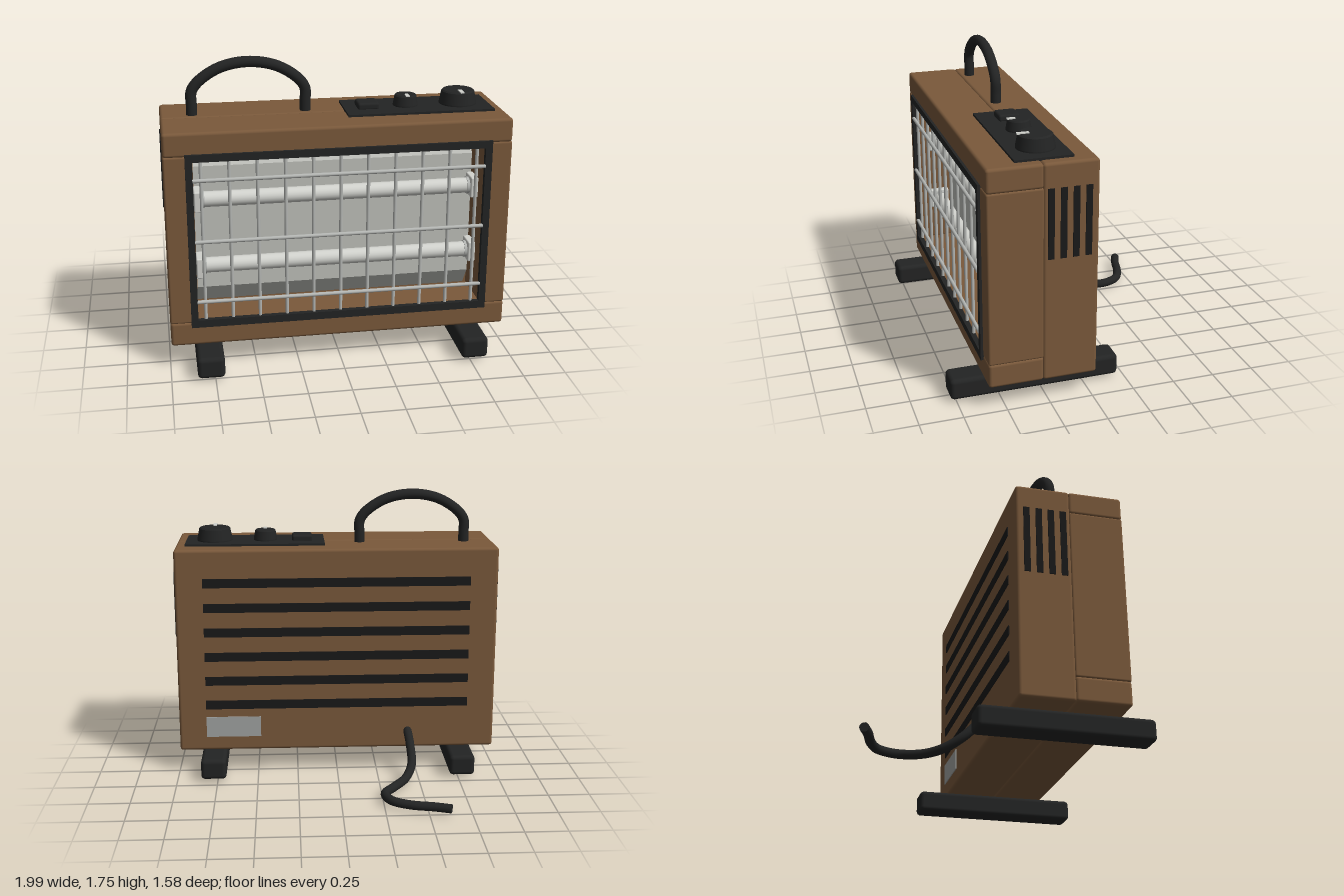
import * as THREE from 'three';
import { RoundedBoxGeometry } from 'three/addons/geometries/RoundedBoxGeometry.js';

const mat = (name, color, side = THREE.FrontSide) => {
  const m = new THREE.MeshStandardMaterial({ color, side });
  m.name = name;
  return m;
};

export function createModel() {
  const brown = mat('brown casing', 0x7a593b);
  const black = mat('black plastic', 0x232424);
  const dark = mat('dark vent', 0x191919);
  const reflectorMat = mat('reflector metal', 0xc0c1bb, THREE.DoubleSide);
  const steel = mat('grille steel', 0xb4b6b3);
  const ceramic = mat('pale ceramic', 0xd2d3ce);
  const plateMat = mat('label grey', 0xa2a4a3);

  const model = new THREE.Group();
  const add = (name, geo, material, x = 0, y = 0, z = 0) => {
    const mesh = new THREE.Mesh(geo, material);
    mesh.name = name;
    mesh.position.set(x, y, z);
    model.add(mesh);
    return mesh;
  };
  // boxes given by their limits on each axis
  const box = (name, m, [x0, x1], [y0, y1], [z0, z1], r = 0) => add(name,
    r ? new RoundedBoxGeometry(x1 - x0, y1 - y0, z1 - z0, 3, r)
      : new THREE.BoxGeometry(x1 - x0, y1 - y0, z1 - z0),
    m, (x0 + x1) / 2, (y0 + y1) / 2, (z0 + z1) / 2);
  const rodX = (name, m, r, length, y, z, x = 0) => {
    add(name, new THREE.CylinderGeometry(r, r, length, 20), m, x, y, z).rotation.z = Math.PI / 2;
  };
  const tube = (name, points, r, m) => {
    const curve = new THREE.CatmullRomCurve3(points.map(p => new THREE.Vector3(...p)));
    add(name, new THREE.TubeGeometry(curve, 80, r, 14), m);
    // flat caps on both ends
    for (const t of [0, 1]) {
      const p = curve.getPointAt(t);
      const cap = add(name + 'End', new THREE.CircleGeometry(r, 14), m, p.x, p.y, p.z);
      cap.lookAt(p.clone().addScaledVector(curve.getTangentAt(t), t ? 1 : -1));
    }
  };

  // casing: rear box and a front shell made of four bars
  box('rearCasing', brown, [-0.99, 0.99], [0.145, 1.425], [-0.025, 0.29], 0.018);
  box('frontTopBar', brown, [-0.99, 0.99], [1.285, 1.425], [0.285, 0.6], 0.018);
  box('frontBottomBar', brown, [-0.99, 0.99], [0.145, 0.29], [0.285, 0.6], 0.018);
  for (const s of [-1, 1]) {
    box('frontSideBar', brown, [s * 0.915 - 0.075, s * 0.915 + 0.075], [0.285, 1.29], [0.285, 0.6], 0.012);
  }

  // black frame around the opening
  const rect = (path, x, y0, y1) =>
    path.moveTo(-x, y0).lineTo(x, y0).lineTo(x, y1).lineTo(-x, y1).closePath();
  const frame = new THREE.Shape();
  rect(frame, 0.87, 0.262, 1.303);
  const hole = new THREE.Path();
  rect(hole, 0.83, 0.307, 1.26);
  frame.holes.push(hole);
  add('frontFrame', new THREE.ExtrudeGeometry(frame, { depth: 0.03, bevelEnabled: false }), black, 0, 0, 0.585);

  // reflector: upright sheet with both edges folded back
  const fold = [[0.295, 0.3], [0.41, 0.38], [1.16, 0.38], [1.275, 0.3]];
  for (let i = 0; i < 3; i++) {
    const [y0, z0] = fold[i], [y1, z1] = fold[i + 1];
    const sheet = add('reflectorPanel', new THREE.PlaneGeometry(1.64, Math.hypot(y1 - y0, z1 - z0)),
      reflectorMat, 0, (y0 + y1) / 2, (z0 + z1) / 2);
    sheet.rotation.x = Math.atan2(z1 - z0, y1 - y0);
  }

  // heating tubes with end holders
  for (const y of [0.585, 0.99]) {
    rodX('heatingTube', ceramic, 0.045, 1.56, y, 0.46);
    for (const s of [-1, 1]) {
      box('tubeHolder', ceramic, [s * 0.803 - 0.022, s * 0.803 + 0.022], [y - 0.062, y + 0.062], [0.4, 0.52], 0.008);
      rodX('tubeCollar', steel, 0.05, 0.015, y, 0.46, s * 0.773);
    }
  }

  // wire grille
  for (let i = 0; i < 11; i++) {
    add('grilleUpright', new THREE.CylinderGeometry(0.01, 0.01, 0.97, 10), steel, (i - 5) * 0.157, 0.784, 0.592);
  }
  for (const y of [0.42, 0.788, 1.152]) rodX('grilleRail', steel, 0.011, 1.665, y, 0.609);

  // side and rear vents
  for (const s of [-1, 1]) for (let i = 0; i < 4; i++) {
    const z = 0.035 + i * 0.0707;
    box('sideVent', dark, [s * 0.991 - 0.0045, s * 0.991 + 0.0045], [0.88, 1.285], [z - 0.018, z + 0.018]);
  }
  for (let i = 0; i < 6; i++) {
    const y = 0.445 + i * 0.155;
    box('rearVent', dark, [-0.82, 0.82], [y - 0.028, y + 0.028], [-0.03, -0.021]);
  }
  box('ratingPlate', plateMat, [0.48, 0.82], [0.235, 0.365], [-0.031, -0.022]);

  // control panel, switch and knobs
  box('controlPanel', black, [0.07, 0.93], [1.42, 1.438], [0.1, 0.43]);
  box('switchRocker', black, [0.145, 0.27], [1.43, 1.473], [0.2, 0.325], 0.014);
  const knob = (x, r, top, z0, z1, w) => {
    const h = top - 1.435;
    const profile = [[0, 0], [r, 0], [r, 0.01], [r * 0.88, h - 0.008], [r * 0.8, h], [0, h]];
    // each straight run is turned separately so its edges stay sharp
    for (let i = 1; i < profile.length - 1; i++) {
      add('knob', new THREE.LatheGeometry([profile[i], profile[i + 1]].map(p => new THREE.Vector2(...p)), 32),
        black, x, 1.435, 0.26);
    }
    box('knobPointer', ceramic, [x - w, x + w], [top - 0.002, top + 0.006], [z0, z1]);
  };
  knob(0.437, 0.073, 1.503, 0.28, 0.328, 0.011);
  knob(0.752, 0.11, 1.52, 0.295, 0.365, 0.011);

  // carrying handle
  const half = [[-0.328, 1.41], [-0.328, 1.48], [-0.326, 1.56], [-0.285, 1.618], [-0.16, 1.695]];
  const arch = [...half, [0, 1.723], ...half.map(([x, y]) => [-x, y]).reverse()];
  tube('handle', arch.map(([x, y]) => [x - 0.479, y, 0.23]), 0.032, black);

  // feet
  for (const s of [-1, 1]) {
    box('foot', black, [s * 0.773 - 0.078, s * 0.773 + 0.078], [0.018, 0.145], [-0.21, 0.785], 0.025);
  }

  // power cable
  tube('powerCable', [
    [-0.445, 0.26, -0.01], [-0.455, 0.19, -0.1], [-0.455, 0.095, -0.2], [-0.41, 0.042, -0.29],
    [-0.33, 0.027, -0.39], [-0.262, 0.038, -0.52], [-0.295, 0.043, -0.635], [-0.4, 0.041, -0.695],
    [-0.53, 0.042, -0.73], [-0.625, 0.043, -0.765]], 0.027, black);

  return model;
}
